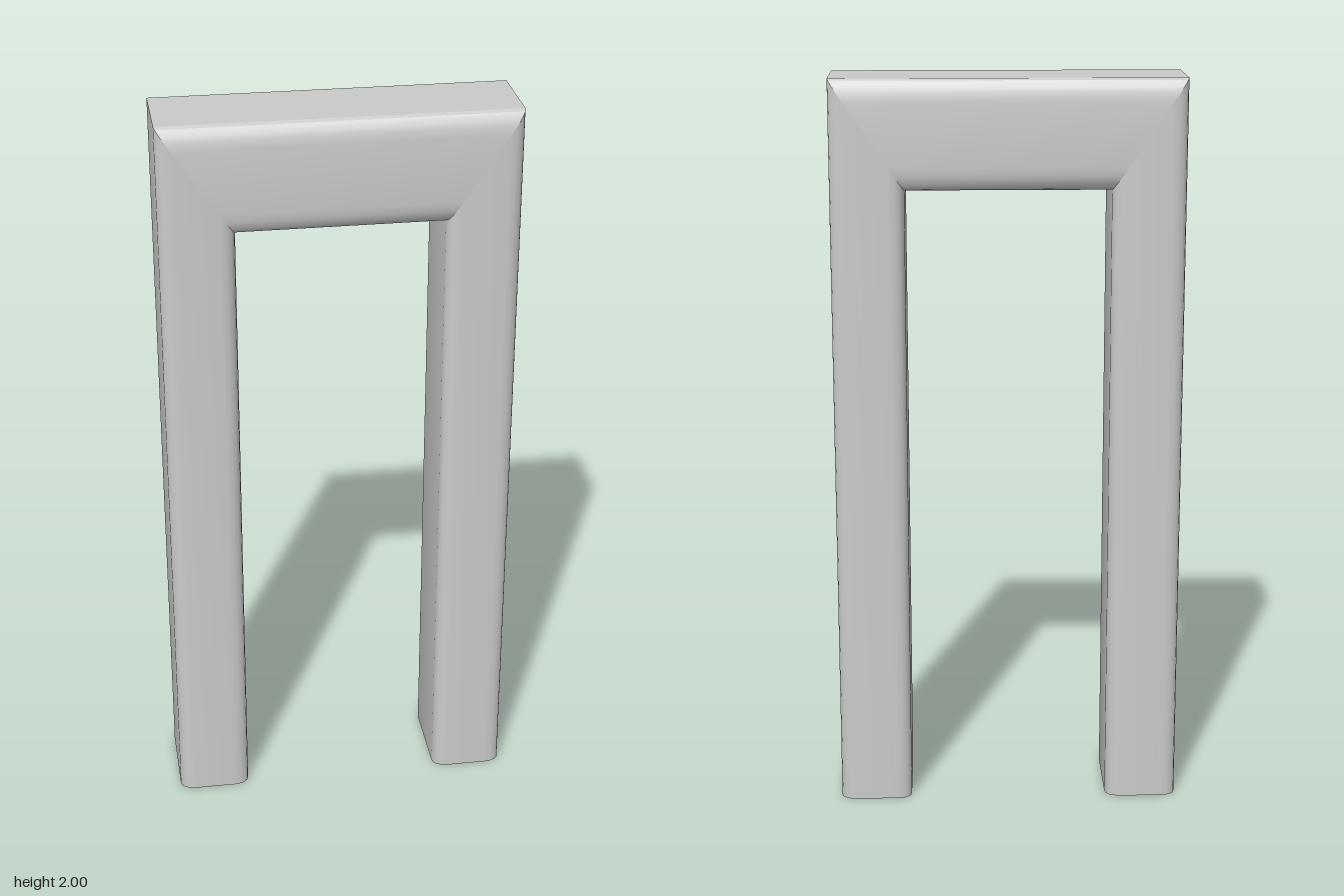
import * as THREE from 'three';
import { toCreasedNormals } from 'three/addons/utils/BufferGeometryUtils.js';

const OUT_X = 0.468, IN_X = 0.272, TOP = 2, UNDER = 1.71, HALF_Z = 0.14;
const ROUND_U = 0.21, ROUND_Z = 0.03, STEPS = 4;

// Rounded section: u runs from the inner face (0) to the outer face (1)
function sectionProfile() {
  const points = [];
  for (let corner = 0; corner < 4; corner++) {
    for (let i = 0; i <= STEPS; i++) {
      const a = (corner + i / STEPS) * Math.PI / 2;
      const su = corner === 0 || corner === 3 ? 1 : -1;
      const sz = corner < 2 ? 1 : -1;
      points.push([
        0.5 + su * (0.5 - ROUND_U) + ROUND_U * Math.cos(a),
        sz * (HALF_Z - ROUND_Z) + ROUND_Z * Math.sin(a),
      ]);
    }
  }
  return points;
}

// Open tube between two cross-sections
function loft(a, b, crease) {
  const n = a.length, index = [];
  for (let i = 0; i < n; i++) {
    const j = (i + 1) % n;
    index.push(i, n + i, n + j, i, n + j, j);
  }
  const geometry = new THREE.BufferGeometry();
  geometry.setAttribute('position', new THREE.Float32BufferAttribute([...a, ...b].flat(), 3));
  geometry.setIndex(index);
  return toCreasedNormals(geometry, crease);
}

export function createModel() {
  const group = new THREE.Group();
  group.name = 'doorFrame';
  const material = new THREE.MeshStandardMaterial({ color: 0xcccccc, side: THREE.DoubleSide });
  const profile = sectionProfile();
  const legX = (u) => IN_X + (OUT_X - IN_X) * u;

  // Sections at the foot and at the mitred corner of one side
  const foot = (side) => profile.map(([u, z]) => [side * legX(u), 0, z]);
  const mitre = (side) => profile.map(([u, z]) => [side * legX(u), UNDER + (TOP - UNDER) * u, z]);

  const add = (name, a, b, crease) => {
    const mesh = new THREE.Mesh(loft(a, b, crease), material);
    mesh.name = name;
    group.add(mesh);
  };
  add('leftLeg', foot(1), mitre(1), 0.7);
  add('lintel', mitre(1), mitre(-1), 0.36);
  add('rightLeg', mitre(-1), foot(-1), 0.7);
  return group;
}
